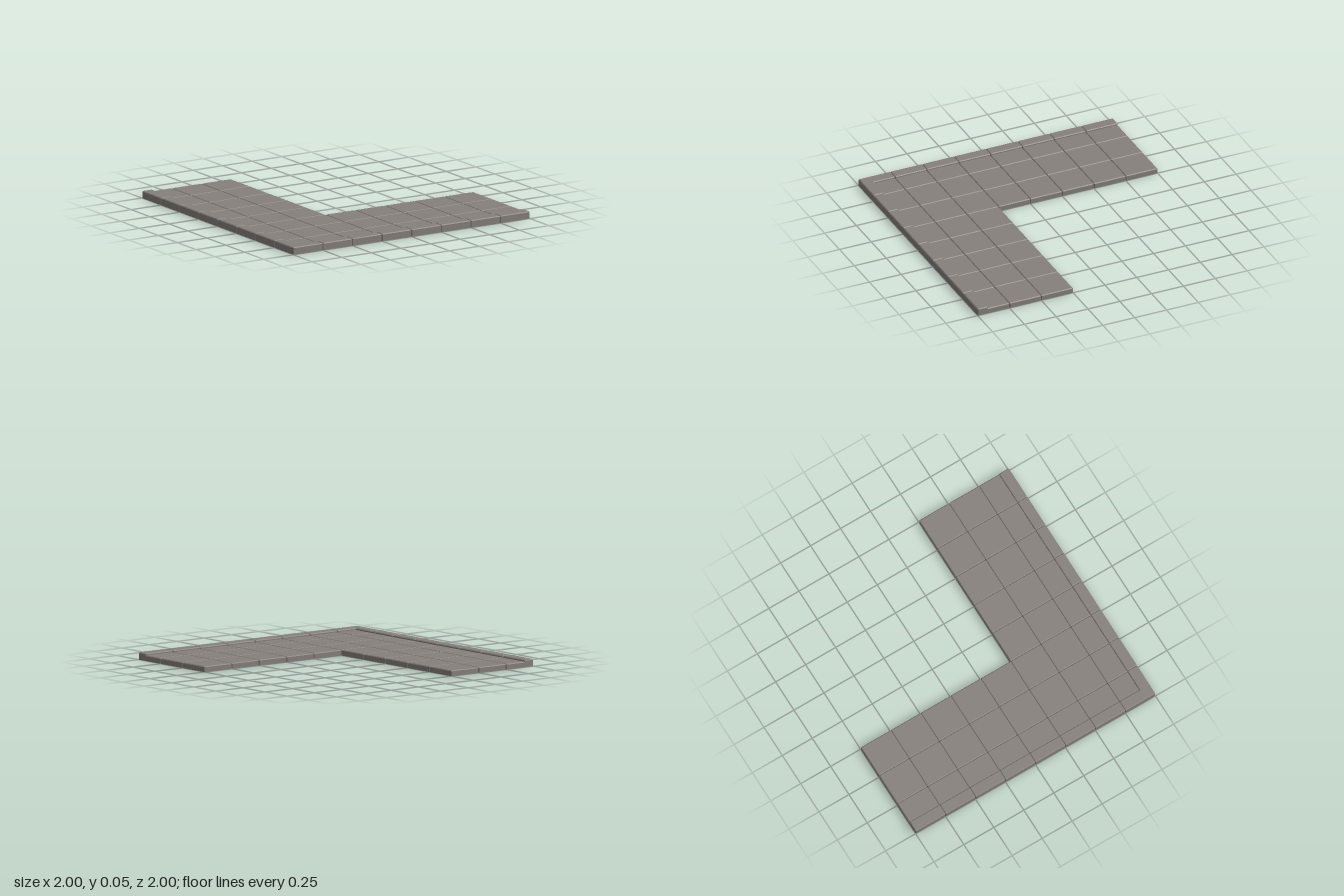
import * as THREE from 'three';

const CELL = 0.25, CURB = 0.083, BEVEL = 0.006;
const SLAB_H = 0.04, CURB_H = 0.053;

const stone = new THREE.MeshStandardMaterial({ color: 0x86807b, flatShading: true });

// Outline in (x, z), counter-clockwise seen from above; convex corners are clipped.
function clippedShape(corners) {
  const pts = corners.map(([x, z]) => new THREE.Vector2(x, -z));
  const out = [];
  pts.forEach((p, i) => {
    const toPrev = pts[(i + pts.length - 1) % pts.length].clone().sub(p).normalize();
    const toNext = pts[(i + 1) % pts.length].clone().sub(p).normalize();
    if (toNext.cross(toPrev) > 0) {
      out.push(p.clone().addScaledVector(toPrev, BEVEL), p.clone().addScaledVector(toNext, BEVEL));
    } else out.push(p);
  });
  return new THREE.Shape(out);
}

// Stone with a chamfered top and a flat underside.
function makeStone(name, corners, height) {
  const geo = new THREE.ExtrudeGeometry(clippedShape(corners), {
    depth: height - BEVEL, bevelEnabled: true, bevelSegments: 1,
    bevelThickness: BEVEL, bevelSize: BEVEL, bevelOffset: -BEVEL,
  });
  geo.rotateX(-Math.PI / 2);
  const pos = geo.attributes.position;
  for (let i = 0; i < pos.count; i++) pos.setY(i, Math.max(0, pos.getY(i)));
  geo.computeVertexNormals();
  const mesh = new THREE.Mesh(geo, stone);
  mesh.name = name;
  return mesh;
}

const rect = (x0, z0, x1, z1) => [[x0, z1], [x1, z1], [x1, z0], [x0, z0]];

export function createModel() {
  const model = new THREE.Group();
  model.name = 'cornerPavement';
  const slabs = new THREE.Group();
  slabs.name = 'pavingSlabs';
  const curbs = new THREE.Group();
  curbs.name = 'curb';
  model.add(slabs, curbs);

  const inX = -1 + CURB, inZ = 1 - CURB; // inner edges of the curb
  const tuck = 0.014;                    // slabs run slightly under the curb

  for (let i = 0; i < 8; i++) {
    for (let j = 0; j < 8; j++) {
      if (i > 2 && j < 5) continue;      // empty quarter of the L
      const x0 = -1 + i * CELL, x1 = x0 + CELL;
      const z0 = -1 + j * CELL, z1 = z0 + CELL;
      const left = i === 0, front = j === 7;

      slabs.add(makeStone('pavingSlab',
        rect(left ? inX - tuck : x0, z0, x1, front ? inZ + tuck : z1), SLAB_H));

      // Raised curb along the left and front edges, with one L-shaped corner stone
      if (left && front) {
        curbs.add(makeStone('cornerCurbStone',
          [[x0, z1], [x1, z1], [x1, inZ], [inX, inZ], [inX, z0], [x0, z0]], CURB_H));
      } else if (left) {
        curbs.add(makeStone('leftCurbStone', rect(x0, z0, inX, z1), CURB_H));
      } else if (front) {
        curbs.add(makeStone('frontCurbStone', rect(x0, inZ, x1, z1), CURB_H));
      }
    }
  }
  return model;
}
